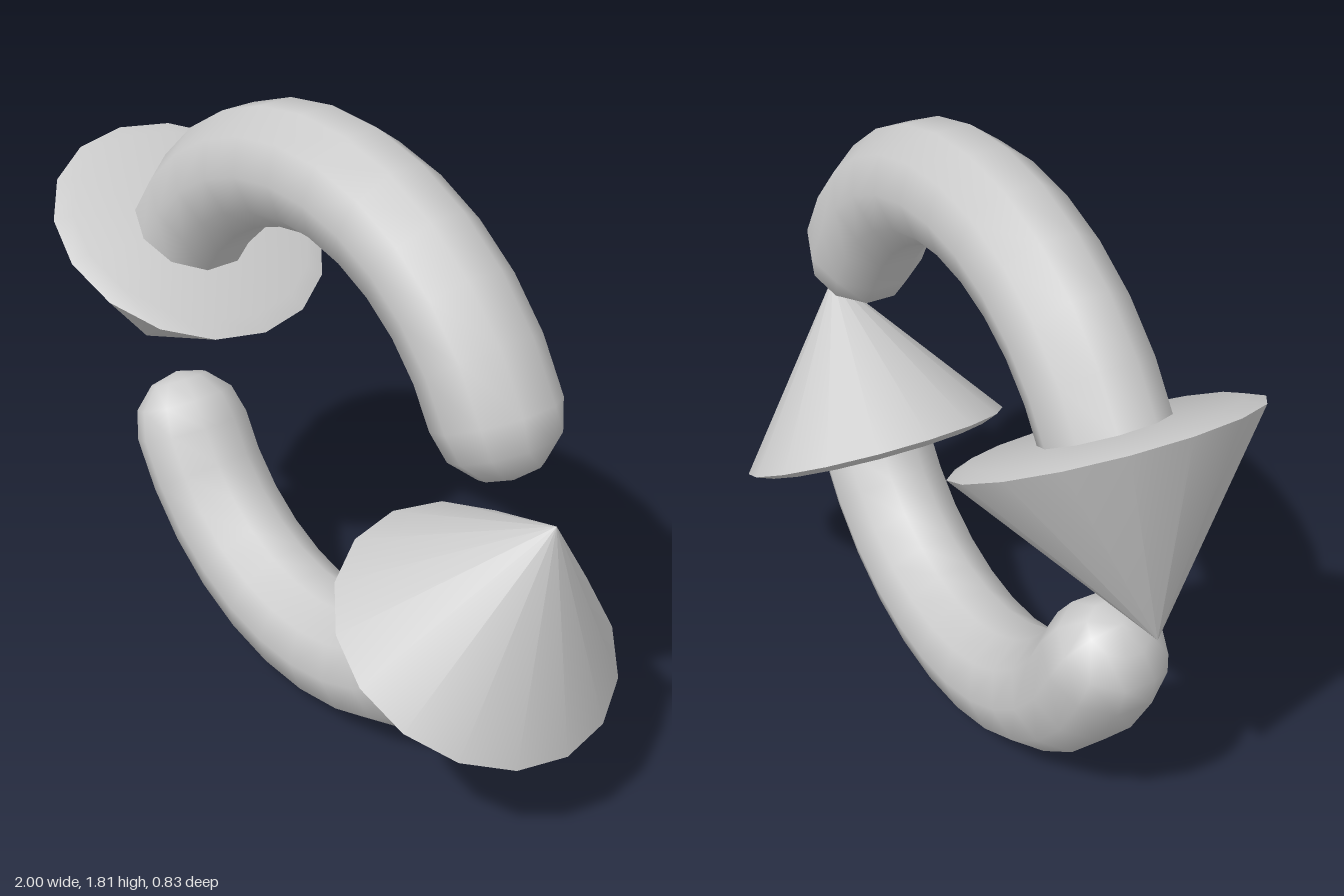
import * as THREE from 'three';
import { mergeVertices, toCreasedNormals } from 'three/addons/utils/BufferGeometryUtils.js';

const RING = 0.742;                              // radius of the circle the arrows follow
const TUBE = 0.175;                              // shaft thickness (radius)
const START = THREE.MathUtils.degToRad(24.5);    // rounded tail
const END = THREE.MathUtils.degToRad(150);       // base of the arrowhead
const CENTRE_Y = 0.909;

const grey = new THREE.MeshStandardMaterial({ color: 0xcccccc });

// Straight round-ended rod, bent around the ring
function shaftGeometry() {
  const profile = [];
  for (let i = 0; i < 3; i++) {
    const t = (i / 3) * Math.PI / 2;
    profile.push(new THREE.Vector2(TUBE * Math.sin(t), -TUBE * Math.cos(t)));
  }
  const steps = 11;
  for (let i = 0; i <= steps; i++) {
    profile.push(new THREE.Vector2(TUBE, (END - START) * RING * i / steps));
  }
  const rod = new THREE.LatheGeometry(profile, 10);
  const pos = rod.attributes.position;
  for (let i = 0; i < pos.count; i++) {
    const s = pos.getY(i);
    const angle = START + Math.max(s, 0) / RING;
    const along = Math.min(s, 0);                // the tail cap stays straight
    const r = RING + pos.getX(i);
    pos.setXY(i,
      r * Math.cos(angle) - along * Math.sin(angle),
      r * Math.sin(angle) + along * Math.cos(angle));
  }
  rod.deleteAttribute('normal');
  rod.deleteAttribute('uv');
  const merged = mergeVertices(rod);             // no shading seam
  merged.computeVertexNormals();
  return merged;
}

// Cone with a bevelled underside
function headGeometry() {
  const profile = [[0, -0.02], [0.36, -0.02], [0.413, 0], [0, 0.53]]
    .map(([x, y]) => new THREE.Vector2(x, y));
  return toCreasedNormals(new THREE.LatheGeometry(profile, 16), 0.9);
}

export function createModel() {
  const model = new THREE.Group();
  model.name = 'circularArrows';
  const shaftGeo = shaftGeometry();
  const headGeo = headGeometry();

  // Two identical arrows, half a turn apart
  ['upperArrow', 'lowerArrow'].forEach((name, i) => {
    const arrow = new THREE.Group();
    arrow.name = name;

    const shaft = new THREE.Mesh(shaftGeo, grey);
    shaft.name = 'curvedShaft';

    const head = new THREE.Mesh(headGeo, grey);
    head.name = 'arrowhead';
    head.position.set(RING * Math.cos(END), RING * Math.sin(END), 0);
    head.rotation.z = END;

    arrow.add(shaft, head);
    arrow.position.y = CENTRE_Y;
    arrow.rotation.z = i * Math.PI;
    model.add(arrow);
  });
  return model;
}
